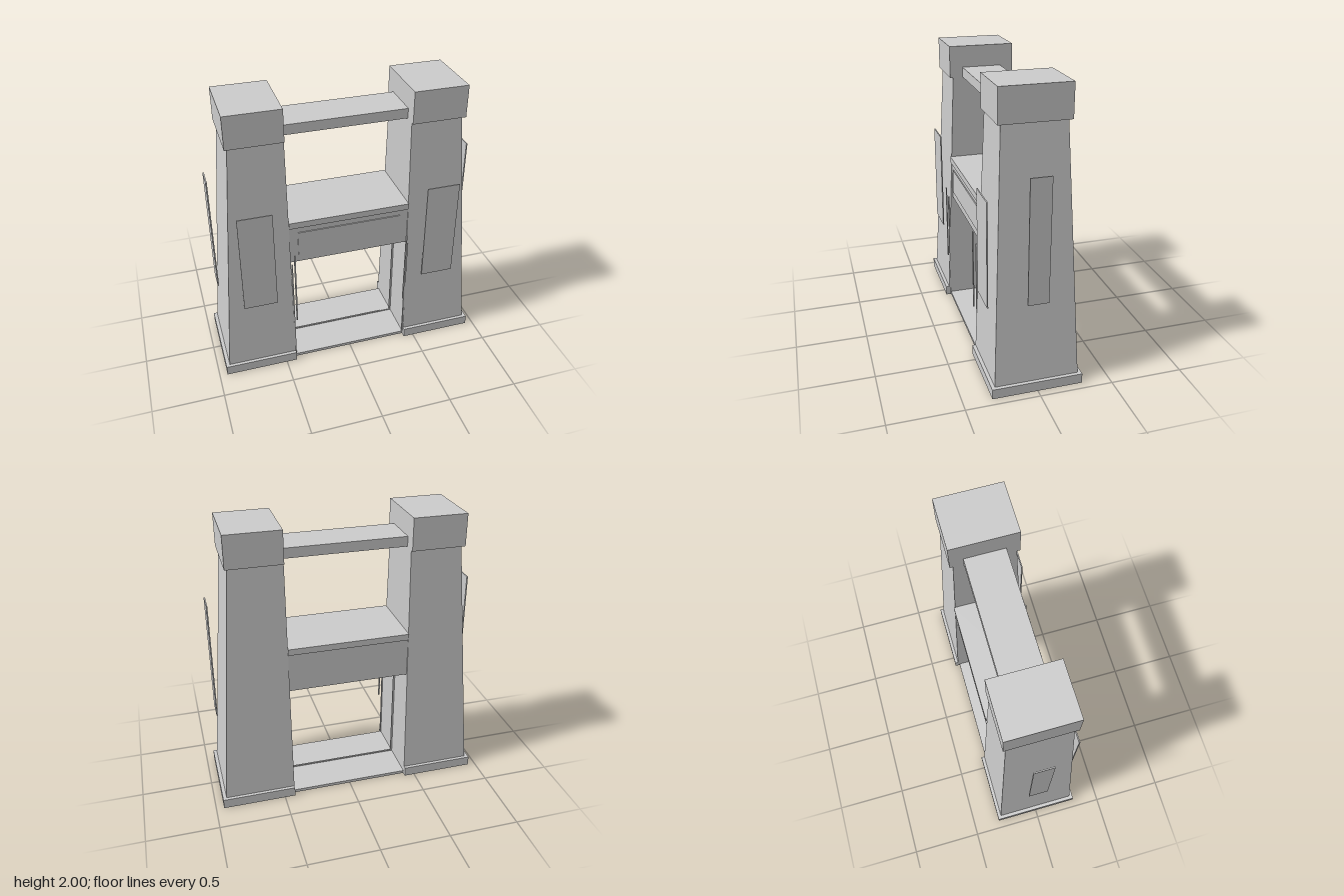
import * as THREE from 'three';

export function createModel() {
  const root = new THREE.Group();
  root.name = 'gateway';
  const stone = new THREE.MeshStandardMaterial({ color: 0xcccccc });
  stone.name = 'light grey stone';

  // Box given by its extents on each axis
  function block(name, [x0, x1], [y0, y1], [z0, z1], parent = root) {
    const mesh = new THREE.Mesh(new THREE.BoxGeometry(x1 - x0, y1 - y0, z1 - z0), stone);
    mesh.position.set((x0 + x1) / 2, (y0 + y1) / 2, (z0 + z1) / 2);
    mesh.name = name;
    parent.add(mesh);
    return mesh;
  }

  // Tower shaft: vertical inner wall, the other three walls lean inwards
  function shaft(side, parent) {
    const geo = new THREE.BoxGeometry(1, 1, 1);
    const p = geo.attributes.position;
    for (let i = 0; i < p.count; i++) {
      const top = p.getY(i) > 0;
      const outer = p.getX(i) * side > 0;
      const x = outer ? (top ? 0.78 : 0.925) : 0.425;
      const z = Math.sign(p.getZ(i)) * (top ? 0.21 : 0.287);
      p.setXYZ(i, side * x, top ? 1.78 : 0.005, z);
    }
    geo.computeVertexNormals();
    const mesh = new THREE.Mesh(geo, stone);
    mesh.name = 'towerShaft';
    parent.add(mesh);
  }

  for (const side of [-1, 1]) {
    const tower = new THREE.Group();
    tower.name = side > 0 ? 'leftTower' : 'rightTower';
    root.add(tower);
    const span = (a, b) => (side > 0 ? [a, b] : [-b, -a]);

    shaft(side, tower);
    block('plinth', span(0.425, 0.945), [0, 0.07], [-0.308, 0.308], tower);
    block('cap', span(0.425, 0.8), [1.775, 2], [-0.232, 0.232], tower);

    // Thin panels standing just off the walls
    block('frontPanel', span(0.54, 0.775), [0.57, 1.3], [0.286, 0.294], tower);
    block('sidePanel', span(0.91, 0.919), [0.635, 1.48], [-0.07, 0.07], tower);

    // Doorway edge strip, slim bar and centre jamb
    block('edgeStrip', span(0.417, 0.426), [0.01, 0.855], [0.264, 0.274], tower);
    block('slimBar', span(0.4, 0.41), [0.37, 0.94], [0.284, 0.292], tower);
    block('jamb', span(0.413, 0.425), [0.02, 0.855], [-0.005, 0.005], tower);
  }

  // Parts spanning between the towers
  const gap = [-0.425, 0.425];
  block('threshold', gap, [0, 0.022], [-0.273, 0.27]);
  block('floorStrip', gap, [0.02, 0.031], [-0.005, 0.005]);
  block('headStrip', gap, [0.843, 0.855], [-0.005, 0.005]);
  block('lintel', gap, [0.852, 1.135], [-0.235, 0.235]);
  block('lintelPanel', [-0.365, 0.365], [0.91, 1.09], [0.234, 0.242]);
  block('ledge', gap, [1.132, 1.177], [-0.246, 0.246]);
  block('upperBeam', gap, [1.778, 1.848], [-0.14, 0.14]);

  return root;
}
